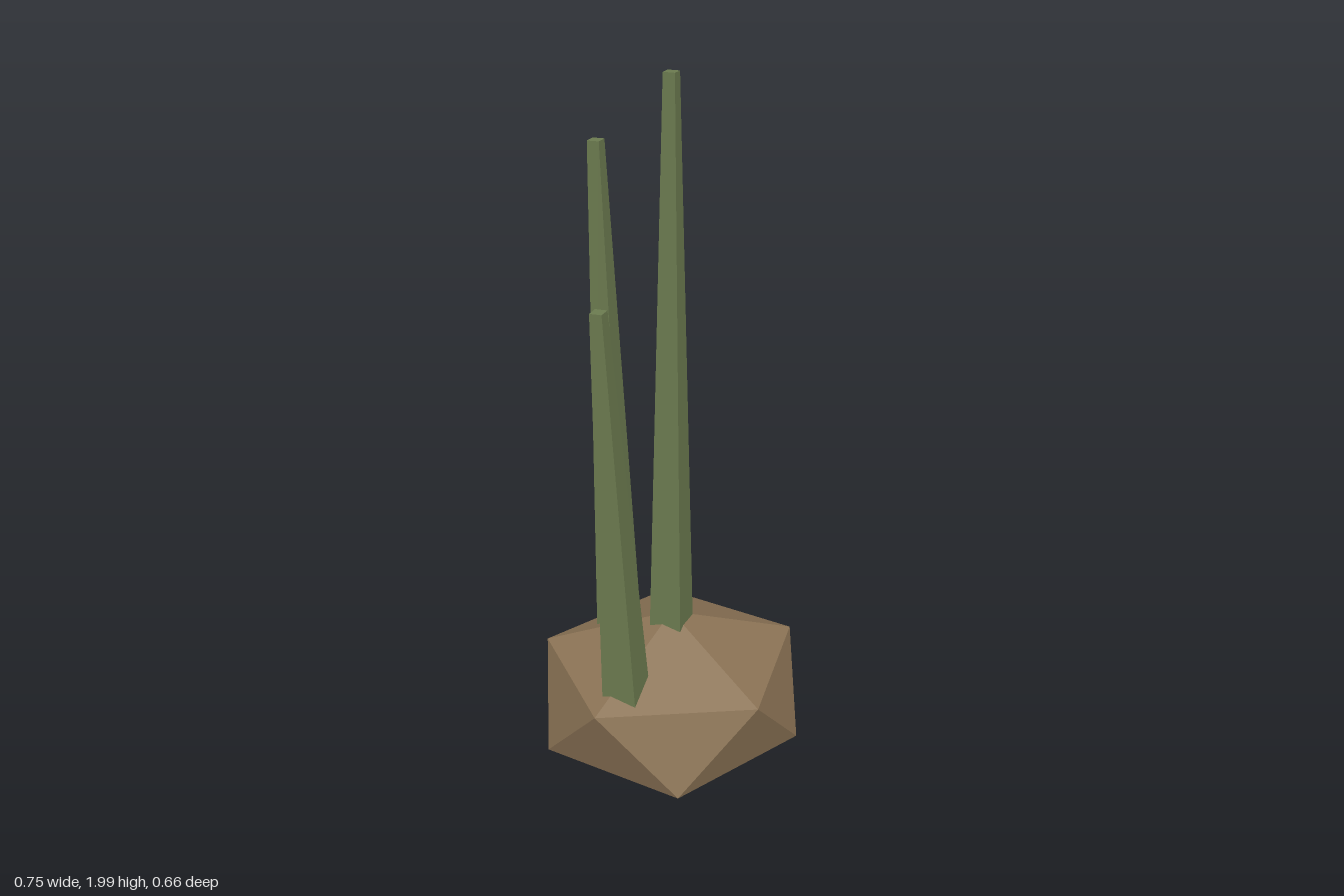
import * as THREE from 'three';

const brown = new THREE.MeshStandardMaterial({ color: 0x8b7355 });
brown.name = 'bulbBrown';
const green = new THREE.MeshStandardMaterial({ color: 0x6b7a4f });
green.name = 'leafGreen';

// Flattened icosahedron standing on a vertex: two staggered five-sided rings and two poles
function bulbGeometry() {
  const rx = 0.373, rz = 0.349, midY = 0.264, ringY = 0.114, poleY = 0.255;
  const ring = (step, y) => {
    const a = step * Math.PI / 5;
    return [rx * Math.cos(a), midY + y, rz * Math.sin(a)];
  };
  const top = [0, midY + poleY, 0];
  const bottom = [0, midY - poleY, 0];
  const points = [];
  for (let i = 0; i < 5; i++) {
    const u0 = ring(2 * i, ringY), u1 = ring(2 * i + 2, ringY);
    const l0 = ring(2 * i + 1, -ringY), l1 = ring(2 * i + 3, -ringY);
    points.push(...top, ...u1, ...u0);
    points.push(...u0, ...u1, ...l0);
    points.push(...l0, ...u1, ...l1);
    points.push(...bottom, ...l0, ...l1);
  }
  const geometry = new THREE.BufferGeometry();
  geometry.setAttribute('position', new THREE.Float32BufferAttribute(points, 3));
  geometry.computeVertexNormals();
  return geometry;
}

// Four-sided tapering leaf from base to tip, leaning sideways
function leaf(name, baseX, baseY, tipX, tipY, z, baseRadius, tipRadius) {
  const base = new THREE.Vector3(baseX, baseY, z);
  const tip = new THREE.Vector3(tipX, tipY, z);
  const geometry = new THREE.CylinderGeometry(tipRadius, baseRadius, base.distanceTo(tip), 4).toNonIndexed();
  geometry.computeVertexNormals();
  const mesh = new THREE.Mesh(geometry, green);
  mesh.name = name;
  mesh.position.copy(base).add(tip).multiplyScalar(0.5);
  mesh.rotation.z = Math.atan2(baseX - tipX, tipY - baseY);
  return mesh;
}

export function createModel() {
  const group = new THREE.Group();
  group.name = 'sproutingBulb';

  const bulb = new THREE.Mesh(bulbGeometry(), brown);
  bulb.name = 'bulb';
  group.add(bulb);

  group.add(
    leaf('centreLeaf', 0, 0.44, 0, 2.0, 0, 0.066, 0.022),
    leaf('backLeaf', -0.095, 0.38, -0.133, 1.815, -0.168, 0.068, 0.023),
    leaf('frontLeaf', -0.19, 0.36, -0.245, 1.488, 0.148, 0.069, 0.023),
  );
  return group;
}
